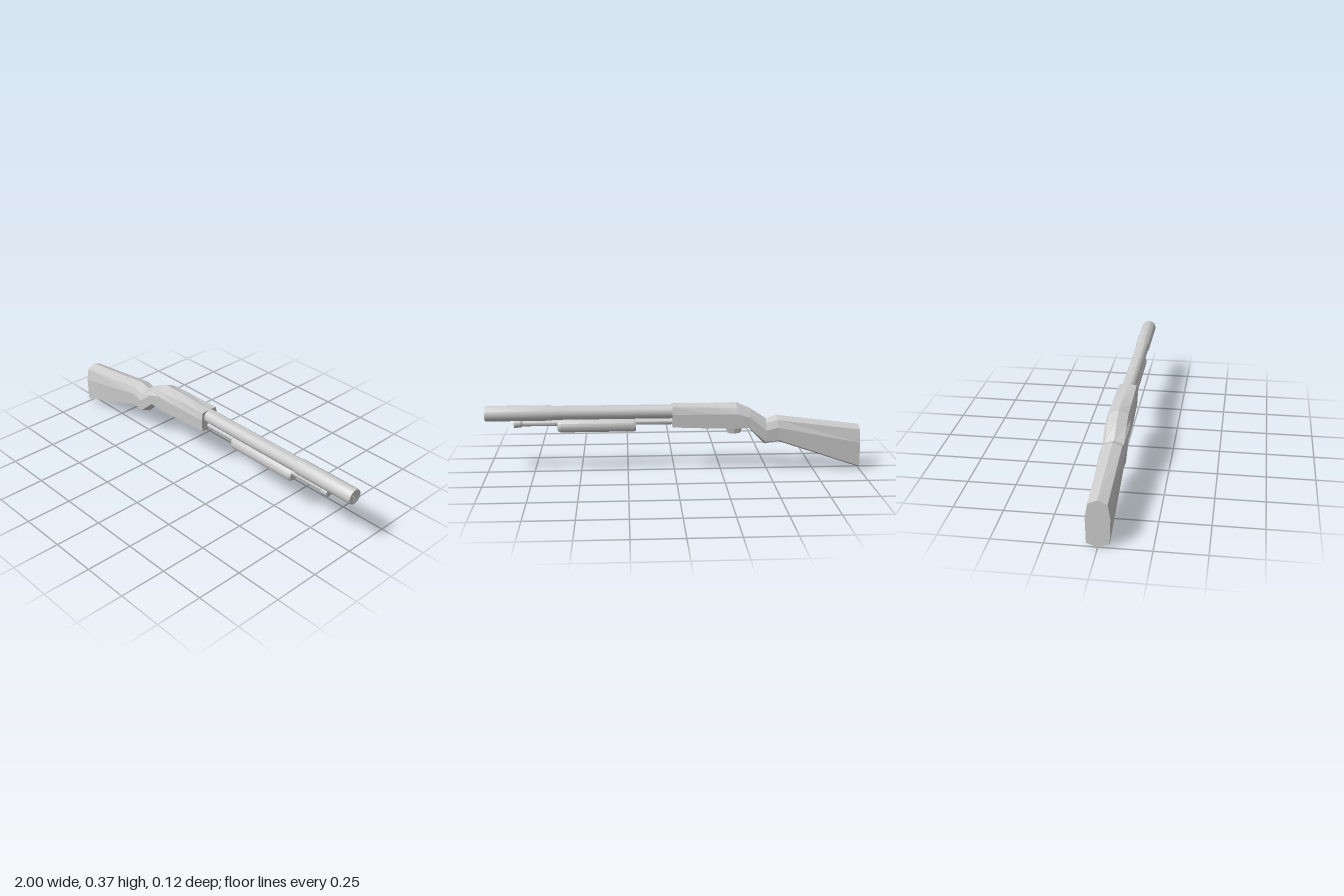
import * as THREE from 'three';
import { toCreasedNormals } from 'three/addons/utils/BufferGeometryUtils.js';

const smooth = new THREE.MeshStandardMaterial({ color: 0xcccccc });
const faceted = new THREE.MeshStandardMaterial({ color: 0xcccccc, flatShading: true });

// Skin over equal-length rings of [x, y, z], running from -x to +x, capped at both ends
function loft(rings) {
  const pos = [];
  const tri = (a, b, c) => pos.push(...a, ...b, ...c);
  const n = rings[0].length;
  const centre = (ring) => [0, 1, 2].map((k) => ring.reduce((s, p) => s + p[k], 0) / n);
  const first = rings[0], last = rings[rings.length - 1];
  for (let j = 0; j < n; j++) {
    const k = (j + 1) % n;
    for (let i = 0; i < rings.length - 1; i++) {
      const a = rings[i][j], b = rings[i][k], c = rings[i + 1][k], d = rings[i + 1][j];
      tri(a, b, c);
      tri(a, c, d);
    }
    tri(centre(first), first[k], first[j]);
    tri(centre(last), last[j], last[k]);
  }
  const g = new THREE.BufferGeometry();
  g.setAttribute('position', new THREE.Float32BufferAttribute(pos, 3));
  g.computeVertexNormals();
  return g;
}

// Eight-sided ring with a ridge above and below
function bodyRing([xt, yt, xb, yb, top, mid, topDrop, botRise]) {
  const at = (t, z) => {
    const y = yb + (yt - yb) * t;
    return [xb + (xt - xb) * t, y, z];
  };
  const h = yt - yb;
  const tTop = 1 - topDrop / h, tBot = botRise / h;
  const side = [[tTop, top], [0.62, mid], [tBot, mid - 0.004]];
  return [
    at(1, 0),
    ...side.map(([t, z]) => at(t, z)),
    at(0, 0),
    ...side.reverse().map(([t, z]) => at(t, -z)),
  ];
}

// Round part along x from [x, radius] pairs
function turned(profile, y, segments = 24) {
  const g = new THREE.LatheGeometry(profile.map(([x, r]) => new THREE.Vector2(r, x)), segments);
  g.rotateZ(-Math.PI / 2);
  g.translate(0, y, 0);
  return toCreasedNormals(g, 0.6);
}

export function createModel() {
  const group = new THREE.Group();
  const add = (name, geometry, material = smooth) => {
    const mesh = new THREE.Mesh(geometry, material);
    mesh.name = name;
    group.add(mesh);
  };

  // Stock, wrist and receiver: xTop, yTop, xBottom, yBottom, shoulder, half width, top drop, bottom rise
  const stations = [
    [-0.995, 0.24, -1.0, 0.0, 0.046, 0.058, 0.02, 0.018],
    [-0.545, 0.296, -0.56, 0.15, 0.048, 0.061, 0.017, 0.02],
    [-0.49, 0.279, -0.485, 0.137, 0.048, 0.062, 0.017, 0.025],
    [-0.4, 0.338, -0.395, 0.232, 0.048, 0.062, 0.024, 0.008],
    [-0.33, 0.369, -0.33, 0.234, 0.049, 0.062, 0.023, 0.004],
    [-0.2, 0.367, -0.2, 0.237, 0.05, 0.061, 0.014, 0.003],
    [0.012, 0.361, 0.012, 0.245, 0.047, 0.054, 0.004, 0.002],
  ];
  add('stockAndReceiver', loft(stations.map(bodyRing)), faceted);

  // Barrel with a slightly wider muzzle and shallow dished end
  add('barrel', turned([
    [-0.02, 0], [-0.02, 0.037], [0.64, 0.037], [0.66, 0.041], [0.99, 0.041],
    [1.0, 0.039], [1.0, 0.036], [0.992, 0.004], [0.97, 0.004], [0.97, 0],
  ], 0.323));

  // Magazine tube with collar at its front end
  add('magazineTube', turned([
    [-0.02, 0], [-0.02, 0.016], [0.805, 0.016], [0.815, 0.023], [0.85, 0.023], [0.85, 0],
  ], 0.268, 16));

  // Sliding fore-end, chamfered at both ends
  const gripRing = (x, s) => Array.from({ length: 12 }, (_, i) => {
    const a = (i / 12) * Math.PI * 2;
    return [x, 0.251 + Math.cos(a) * 0.036 * s, Math.sin(a) * 0.032 * s];
  });
  add('foreEnd', toCreasedNormals(loft([
    gripRing(0.205, 0.88), gripRing(0.215, 1), gripRing(0.605, 1), gripRing(0.62, 0.8),
  ]), 0.6));

  // Small trigger housing under the receiver
  const guard = new THREE.CylinderGeometry(0.05, 0.034, 0.04, 8);
  guard.scale(1, 1, 0.48);
  guard.translate(-0.32, 0.22, 0);
  add('triggerGuard', guard, faceted);

  return group;
}
